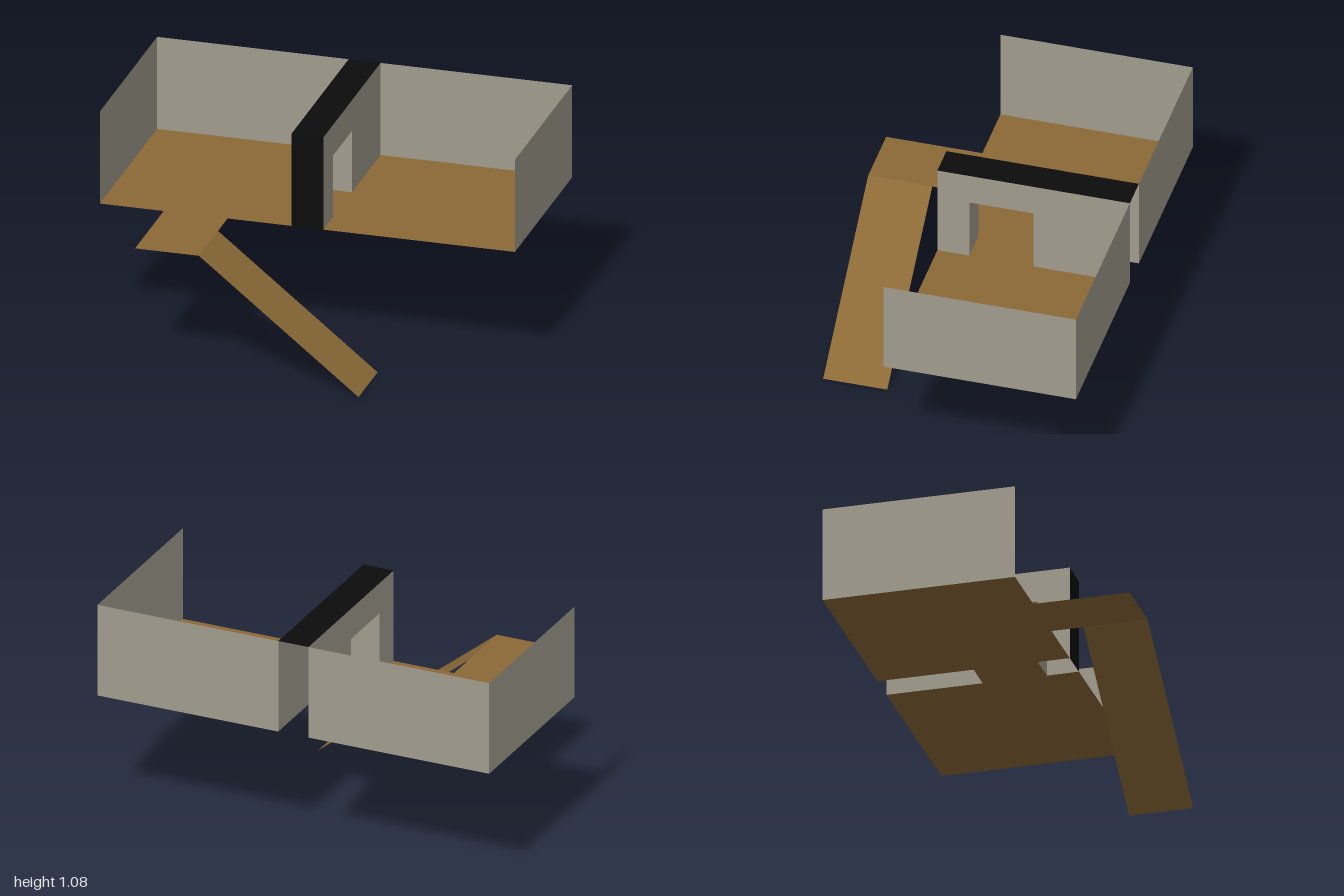
import * as THREE from 'three';

export function createModel() {
  const model = new THREE.Group();
  model.name = 'openRoomsWithRamp';

  const mat = (name, color) => {
    const m = new THREE.MeshStandardMaterial({ color, side: THREE.DoubleSide });
    m.name = name;
    return m;
  };
  const wood = mat('woodBrown', 0x8b6937);
  const stone = mat('stoneGrey', 0xa09b8d);
  const black = mat('trimBlack', 0x0c0c0c);

  // everything sits on a grid of 13 units across
  const U = 2 / 13;
  const yFloor = 4 * U, yTop = 7 * U;
  const zBack = -4.5 * U, zFront = 1.5 * U, zEnd = 4.5 * U;
  const half = U / 2;               // half the divider's thickness
  const doorBack = -1.5 * U, doorFront = 0.5 * U, doorTop = 6 * U;

  const add = (name, geometry, material, x = 0, y = 0, z = 0) => {
    const mesh = new THREE.Mesh(geometry, material);
    mesh.name = name;
    mesh.position.set(x, y, z);
    model.add(mesh);
    return mesh;
  };
  const outline = (pts) =>
    new THREE.ShapeGeometry(new THREE.Shape(pts.map(([a, b]) => new THREE.Vector2(a, b))));
  // flat sheets: horizontal, facing z, facing x
  const level = (w, d) => new THREE.PlaneGeometry(w, d).rotateX(-Math.PI / 2);
  const facing = (w, h) => new THREE.PlaneGeometry(w, h);
  const side = (d, h) => new THREE.PlaneGeometry(d, h).rotateY(Math.PI / 2);

  // floor and landing, left out beneath the solid parts of the divider
  const floorPts = [
    [-1, zBack], [-half, zBack], [-half, doorBack], [half, doorBack], [half, zBack],
    [1, zBack], [1, zFront], [half, zFront], [half, doorFront], [-half, doorFront],
    [-half, zFront], [-2.5 * U, zFront], [-2.5 * U, zEnd], [-4.5 * U, zEnd],
    [-4.5 * U, zFront], [-1, zFront],
  ].map(([x, z]) => [x, -z]);
  add('floor', outline(floorPts).rotateX(-Math.PI / 2), wood, 0, yFloor);

  // ramp from the landing to the ground
  const ramp = level(Math.hypot(5 * U, yFloor), 2 * U);
  add('ramp', ramp, wood, 0, yFloor / 2, 3.5 * U).rotation.z = -Math.atan2(yFloor, 5 * U);

  // outer walls and divider faces, mirrored
  const wallH = yTop - yFloor, yMid = (yTop + yFloor) / 2, zMid = (zBack + zFront) / 2;
  const dividerPts = [
    [zBack, yFloor], [doorBack, yFloor], [doorBack, doorTop], [doorFront, doorTop],
    [doorFront, yFloor], [zFront, yFloor], [zFront, yTop], [zBack, yTop],
  ].map(([z, y]) => [-z, y]);
  for (const s of [-1, 1]) {
    const label = s > 0 ? 'left' : 'right';
    add(label + 'SideWall', side(6 * U, wallH), stone, s, yMid, zMid);
    add(label + 'BackWall', facing(1 - half, wallH), stone, s * (1 + half) / 2, yMid, zBack);
    add(label + 'DividerFace', outline(dividerPts).rotateY(Math.PI / 2), stone, s * half);
  }

  // doorway lining
  const doorH = doorTop - yFloor;
  for (const [name, z] of [['doorwayBackJamb', doorBack], ['doorwayFrontJamb', doorFront]])
    add(name, facing(U, doorH), stone, 0, yFloor + doorH / 2, z);
  add('doorwayCeiling', level(U, 2 * U), stone, 0, doorTop, (doorBack + doorFront) / 2);

  // black cap and front end of the divider; its back is open
  add('dividerCap', level(U, 6 * U), black, 0, yTop, zMid);
  add('dividerFront', facing(U, wallH), black, 0, yMid, zFront);

  return model;
}
